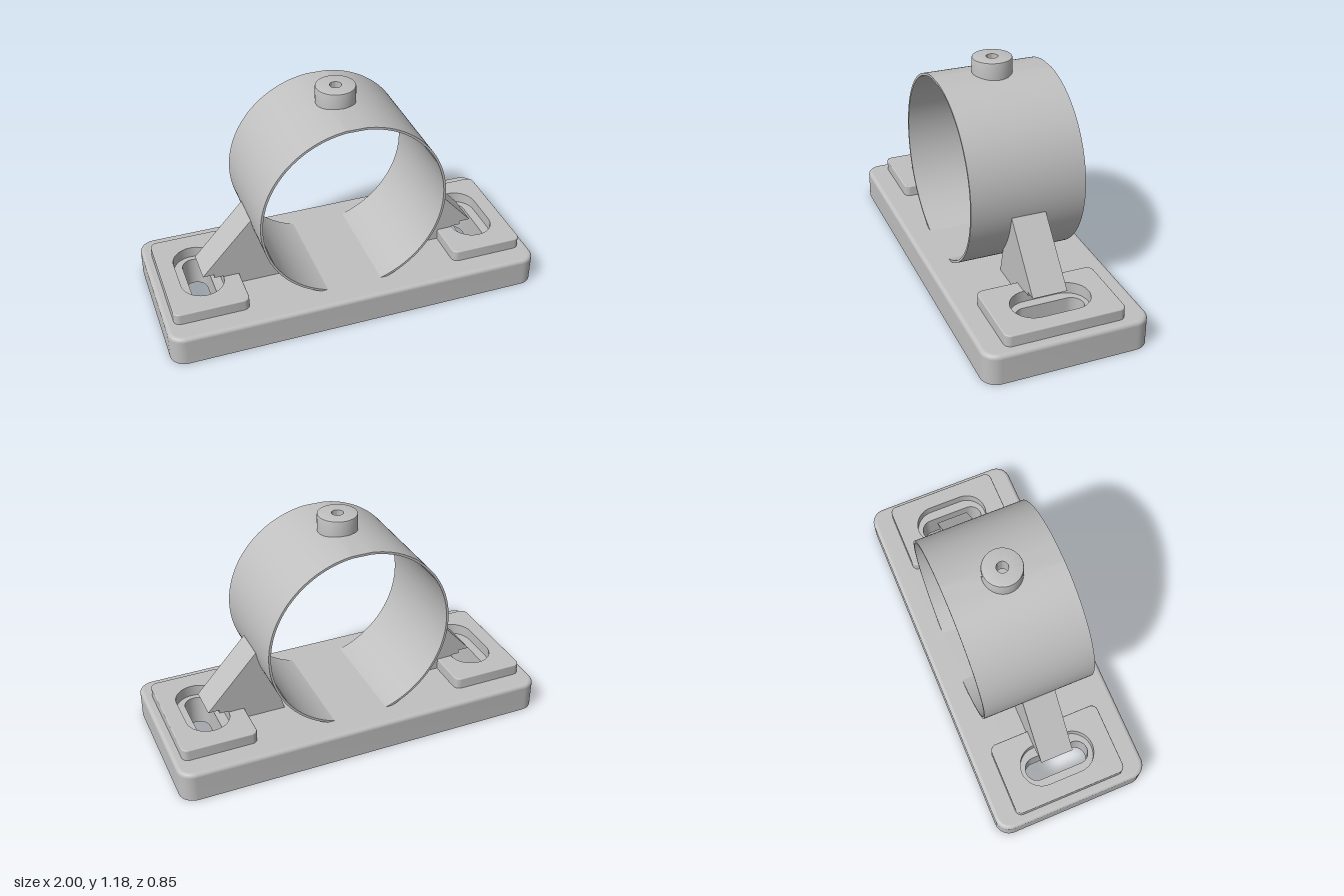
import * as THREE from 'three';
import { toCreasedNormals } from 'three/addons/utils/BufferGeometryUtils.js';

const BASE_TOP = 0.16, SLOT_X = 0.757;
const RING_Y = 0.615, R_OUT = 0.49, R_IN = 0.478, RING_HALF = 0.3;

// Rounded rectangle outline; r = half width makes a slot
function roundedRect(hw, hd, r, cx = 0, steps = 10) {
  const pts = [];
  [[1, 1], [-1, 1], [-1, -1], [1, -1]].forEach(([sx, sy], q) => {
    for (let i = 0; i <= steps; i++) {
      const a = (q + i / steps) * Math.PI / 2;
      pts.push(new THREE.Vector2(cx + sx * (hw - r) + r * Math.cos(a), sy * (hd - r) + r * Math.sin(a)));
    }
  });
  return pts;
}

function extrude(shape, depth, curveSegments = 12) {
  const g = new THREE.ExtrudeGeometry(shape, { depth, bevelEnabled: false, curveSegments });
  return toCreasedNormals(g, 0.5);
}

// Strip joining the shrinking outlines of a rounded top edge
function filletBand(hw, hd, r, f, y0) {
  const pos = [], idx = [], rows = 6;
  let n = 0;
  for (let k = 0; k <= rows; k++) {
    const a = k / rows * Math.PI / 2, inset = f * (1 - Math.cos(a));
    const loop = roundedRect(hw - inset, hd - inset, r - inset);
    n = loop.length;
    loop.forEach(p => pos.push(p.x, y0 + f * Math.sin(a), -p.y));
  }
  for (let k = 0; k < rows; k++) {
    for (let i = 0; i < n; i++) {
      const a = k * n + i, b = k * n + (i + 1) % n;
      idx.push(a, b, b + n, a, b + n, a + n);
    }
  }
  const g = new THREE.BufferGeometry();
  g.setAttribute('position', new THREE.Float32BufferAttribute(pos, 3));
  g.setIndex(idx);
  g.computeVertexNormals();
  return g;
}

// Plate with slots and a rounded top edge
function plate(name, hw, hd, h, r, f, holes, mat) {
  const group = new THREE.Group();
  group.name = name;
  const layer = (inset, y, depth) => {
    const s = new THREE.Shape(roundedRect(hw - inset, hd - inset, r - inset));
    holes.forEach(p => s.holes.push(new THREE.Path(p)));
    const m = new THREE.Mesh(extrude(s, depth).rotateX(-Math.PI / 2), mat);
    m.position.y = y;
    m.name = name + 'Body';
    group.add(m);
  };
  layer(0, 0, h - f);
  layer(f, h - f, f);
  const band = new THREE.Mesh(filletBand(hw, hd, r, f, h - f), mat);
  band.name = name + 'RoundedEdge';
  group.add(band);
  return group;
}

export function createModel() {
  const model = new THREE.Group();
  model.name = 'pipeClamp';
  const grey = new THREE.MeshStandardMaterial({ color: 0xc0c0c0 });
  grey.name = 'grey';
  const add = (name, geo) => {
    const m = new THREE.Mesh(geo, grey);
    m.name = name;
    model.add(m);
    return m;
  };

  // Base plate with two through slots
  const slots = [-1, 1].map(s => roundedRect(0.062, 0.177, 0.062, s * SLOT_X));
  model.add(plate('base', 1, 0.425, BASE_TOP, 0.08, 0.02, slots, grey));

  // Raised pads with wider slot pockets, and gussets
  const gussetShape = new THREE.Shape();
  gussetShape.moveTo(0.34, 0.155);
  [[0.645, 0.155], [0.645, 0.225], [0.693, 0.225], [0.693, 0.245], [0.752, 0.245], [0.485, 0.54]]
    .forEach(p => gussetShape.lineTo(...p));
  gussetShape.absarc(0, RING_Y, R_OUT - 0.004, -0.155, -0.672, true);
  const gusset = extrude(gussetShape, 0.18).translate(0, 0, -0.09);
  for (const s of [-1, 1]) {
    const side = s > 0 ? 'left' : 'right';
    const pocket = roundedRect(0.112, 0.203, 0.112);
    const pad = plate(side + 'Pad', 0.196, 0.309, 0.06, 0.035, 0.006, [pocket], grey);
    pad.position.set(s * SLOT_X, BASE_TOP, 0);
    model.add(pad);
    add(side + 'Gusset', gusset).rotation.y = s > 0 ? 0 : Math.PI;
  }

  // Ring, open at the crown where the drilled strip fits
  const gap = Math.asin(0.05 / R_OUT);
  const a0 = Math.PI / 2 + gap, a1 = Math.PI * 2.5 - gap;
  const ring = new THREE.Shape();
  ring.absarc(0, RING_Y, R_OUT, a0, a1, false);
  ring.absarc(0, RING_Y, R_IN, a1, a0, true);
  add('ring', extrude(ring, RING_HALF * 2, 120).translate(0, 0, -RING_HALF));

  // Crown strip: flat drilled sheet bent to the ring's radius
  const strip = new THREE.Shape([[-0.05, -0.3], [0.05, -0.3], [0.05, 0.3], [-0.05, 0.3]]
    .map(p => new THREE.Vector2(...p)));
  strip.holes.push(new THREE.Path().absarc(0, 0, 0.03, 0, Math.PI * 2, true));
  const crown = new THREE.ExtrudeGeometry(strip, { depth: R_OUT - R_IN, bevelEnabled: false, curveSegments: 32 });
  crown.rotateX(-Math.PI / 2);
  const p = crown.attributes.position;
  for (let i = 0; i < p.count; i++) {
    const r = R_IN + p.getY(i), x = p.getX(i) * r / R_OUT;
    p.setX(i, x);
    p.setY(i, RING_Y + Math.sqrt(r * r - x * x));
  }
  add('ringCrown', toCreasedNormals(crown, 0.5));

  // Hollow boss on the crown
  const profile = [[0.03, 1.0935], [0.102, 1.0935], [0.102, 1.177], [0.1, 1.183], [0.094, 1.185], [0.03, 1.185], [0.03, 1.0935]]
    .map(q => new THREE.Vector2(...q));
  add('boss', toCreasedNormals(new THREE.LatheGeometry(profile, 48), 0.6));

  return model;
}
